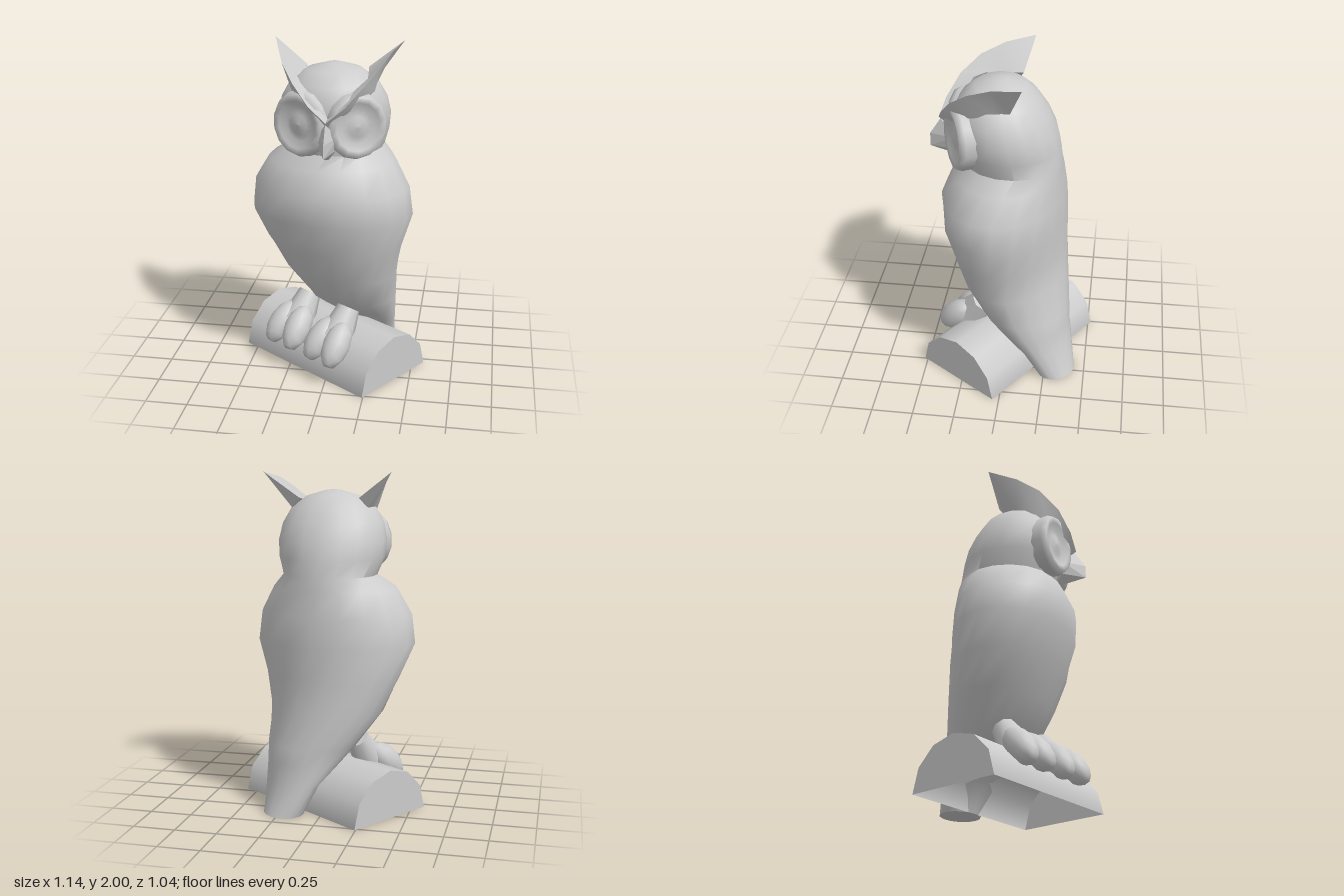
import * as THREE from 'three';
import { toCreasedNormals } from 'three/addons/utils/BufferGeometryUtils.js';
import { ConvexGeometry } from 'three/addons/geometries/ConvexGeometry.js';

const material = new THREE.MeshStandardMaterial({ color: 0xcccccc, side: THREE.DoubleSide });
const flatMaterial = new THREE.MeshStandardMaterial({ color: 0xcccccc, flatShading: true });

function part(name, geometry, mat = material) {
  const mesh = new THREE.Mesh(geometry, mat);
  mesh.name = name;
  return mesh;
}

// Skin a list of rings (each an array of [x, y, z]) and close both ends
function loft(rings, crease = 0.9) {
  const n = rings[0].length;
  const positions = rings.flat(2);
  const index = [];
  for (let i = 0; i < rings.length - 1; i++) {
    for (let j = 0; j < n; j++) {
      const k = (j + 1) % n;
      const a = i * n + j, b = i * n + k, c = b + n, d = a + n;
      index.push(a, b, c, a, c, d);
    }
  }
  [0, rings.length - 1].forEach((r) => {
    const centre = positions.length / 3;
    for (let axis = 0; axis < 3; axis++) {
      positions.push(rings[r].reduce((sum, p) => sum + p[axis], 0) / n);
    }
    for (let j = 0; j < n; j++) {
      const a = r * n + j, b = r * n + (j + 1) % n;
      if (r === 0) index.push(centre, b, a);
      else index.push(centre, a, b);
    }
  });
  const geometry = new THREE.BufferGeometry();
  geometry.setAttribute('position', new THREE.Float32BufferAttribute(positions, 3));
  geometry.setIndex(index);
  return toCreasedNormals(geometry, crease);
}

// Elliptical section turned about the vertical axis
function ellipseRing([y, cx, cz, a, b, turn], sides = 18) {
  const c = Math.cos(turn), s = Math.sin(turn);
  return Array.from({ length: sides }, (_, j) => {
    const t = (j / sides) * Math.PI * 2;
    const x = a * Math.sin(t), z = b * Math.cos(t);
    return [cx + x * c + z * s, y, cz - x * s + z * c];
  });
}

function createLog() {
  const log = new THREE.Group();
  log.name = 'log';
  const bark = new THREE.CylinderGeometry(0.29, 0.29, 0.99, 6, 1, true, 0, Math.PI);
  log.add(part('bark', bark.rotateZ(Math.PI / 2)));
  for (const s of [-1, 1]) {
    const end = part('logEnd', new THREE.CircleGeometry(0.29, 6, 0, Math.PI));
    end.position.x = s * 0.495;
    end.rotation.y = s * Math.PI / 2;
    log.add(end);
  }
  return log;
}

function createFoot(x) {
  const foot = new THREE.Group();
  foot.name = 'foot';
  const ankle = part('ankle', new THREE.CylinderGeometry(0.07, 0.11, 0.2, 8));
  ankle.position.set(x, 0.32, 0.12);
  ankle.rotation.x = -0.6;
  foot.add(ankle);
  for (const s of [-1, 1]) {
    const toe = part('toe', new THREE.SphereGeometry(1, 10, 8));
    toe.scale.set(0.08, 0.085, 0.155);
    toe.position.set(x + s * 0.065, 0.24, 0.24);
    toe.rotation.set(0.8, s * 0.12, 0);
    foot.add(toe);
  }
  return foot;
}

// Swept brow and ear tuft: outer edge rises to a point, inner edges sink into the head
function createBrow(s) {
  const outer = [[0, 1.63, 0.41], [0.1, 1.71, 0.38], [0.2, 1.82, 0.31],
    [0.28, 1.91, 0.2], [0.33, 1.97, 0.06], [0.38, 2, -0.11]];
  const top = [[0, 1.64, 0.31], [0.08, 1.73, 0.29], [0.17, 1.81, 0.23],
    [0.2, 1.83, 0.16], [0.19, 1.84, 0.05], [0.18, 1.85, -0.06]];
  const bottom = [[0, 1.57, 0.33], [0.1, 1.65, 0.3], [0.2, 1.73, 0.24],
    [0.24, 1.76, 0.16], [0.24, 1.78, 0.05], [0.23, 1.79, -0.03]];
  const rings = outer.map((p, i) => {
    const ring = [p, bottom[i], top[i]].map(([x, y, z]) => [0.015 + s * x, y, z]);
    return s > 0 ? ring : ring.reverse();
  });
  return part(s > 0 ? 'leftBrow' : 'rightBrow', loft(rings, 0.6));
}

// Dished disc around each eye
function createFaceDisc(s) {
  const profile = [[0.19, -0.09], [0.192, -0.01], [0.175, 0.025], [0.14, 0.02],
    [0.1, -0.005], [0.06, 0.005], [0, 0.015]].map(([r, h]) => new THREE.Vector2(r, h));
  const disc = part(s > 0 ? 'leftFaceDisc' : 'rightFaceDisc',
    new THREE.LatheGeometry(profile, 14).rotateX(Math.PI / 2));
  disc.position.set(0.01 + s * 0.165, 1.585, 0.285);
  disc.rotation.y = s * 0.45;
  disc.scale.x = 0.92;
  return disc;
}

export function createModel() {
  const owl = new THREE.Group();
  owl.name = 'owlOnLog';

  // Log and feet are turned away from the forward-looking head
  const perch = new THREE.Group();
  perch.name = 'perch';
  perch.rotation.y = -0.6;
  perch.add(createLog(), createFoot(-0.15), createFoot(0.18));
  owl.add(perch);

  // Tail, body and head in one twisting skin: y, centre x, centre z, half width, half depth, turn
  const sections = [
    [0, 0.23, -0.32, 0.13, 0.11, -0.6],
    [0.18, 0.19, -0.26, 0.2, 0.11, -0.6],
    [0.3, 0.14, -0.18, 0.25, 0.19, -0.6],
    [0.4, 0.1, -0.12, 0.29, 0.25, -0.6],
    [0.6, 0.03, -0.055, 0.38, 0.28, -0.5],
    [0.8, 0, -0.01, 0.43, 0.33, -0.35],
    [1.0, -0.01, 0.02, 0.495, 0.36, -0.2],
    [1.17, -0.01, 0.03, 0.47, 0.365, -0.18],
    [1.32, -0.01, 0.005, 0.38, 0.325, -0.12],
    [1.4, 0.015, -0.02, 0.28, 0.295, -0.05],
    [1.5, 0.01, 0.005, 0.315, 0.305, 0],
    [1.6, 0.01, 0.025, 0.325, 0.3, 0],
    [1.7, 0.01, 0.045, 0.305, 0.275, 0],
    [1.79, 0.01, 0.055, 0.255, 0.225, 0],
    [1.86, 0.01, 0.05, 0.16, 0.15, 0],
    [1.895, 0.01, 0.05, 0.04, 0.04, 0],
  ];
  owl.add(part('bodyAndHead', loft(sections.map((s) => ellipseRing(s)))));

  for (const s of [-1, 1]) owl.add(createFaceDisc(s), createBrow(s));

  // Hooked beak
  const beakPoints = [[0, 1.62, 0.4], [0, 1.52, 0.465], [0, 1.44, 0.465], [0, 1.38, 0.27],
    [0.06, 1.53, 0.32], [-0.06, 1.53, 0.32], [0.045, 1.45, 0.32], [-0.045, 1.45, 0.32]]
    .map(([x, y, z]) => new THREE.Vector3(x + 0.012, y, z));
  owl.add(part('beak', new ConvexGeometry(beakPoints), flatMaterial));

  return owl;
}
